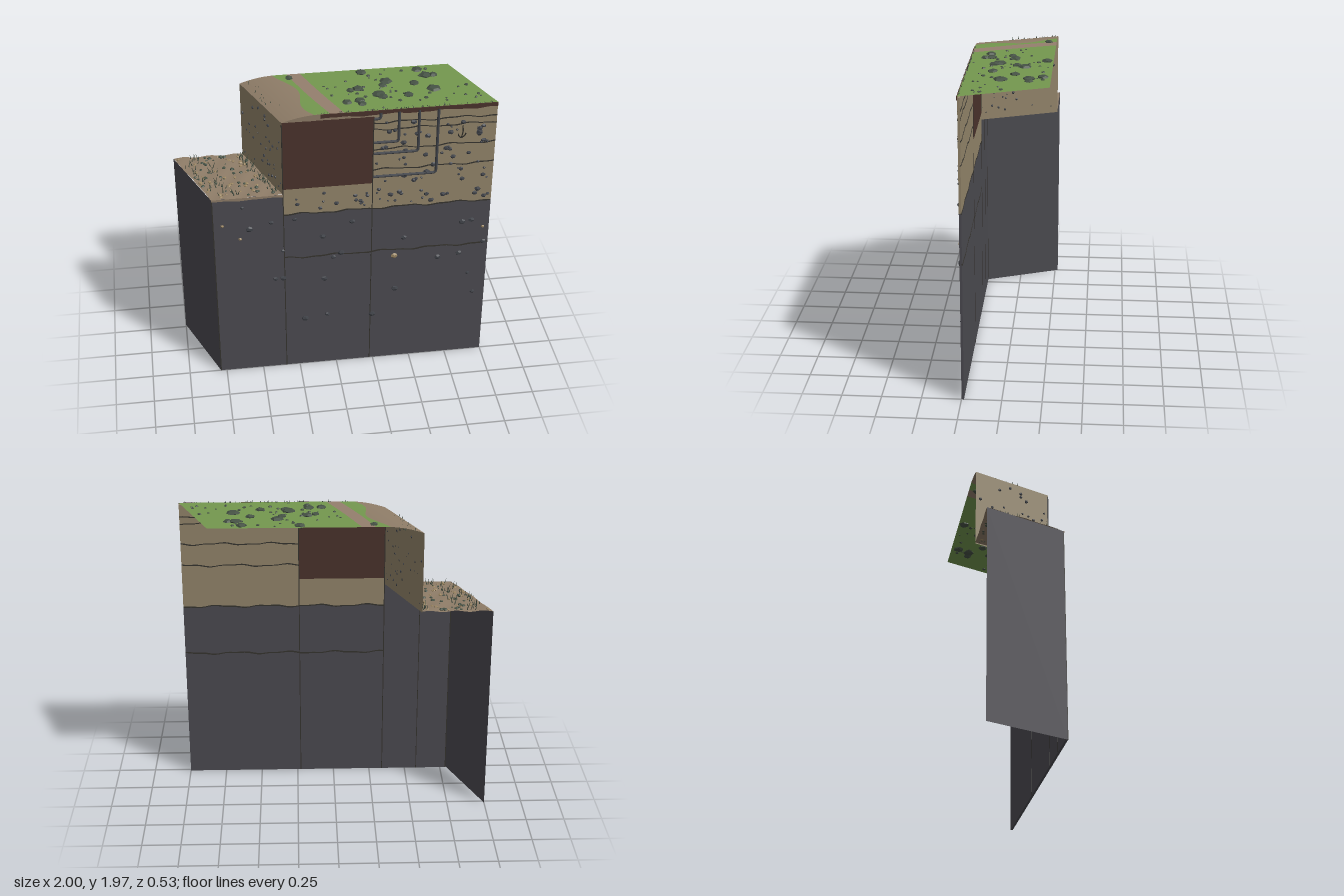
import * as THREE from 'three';
import { mergeGeometries } from 'three/addons/utils/BufferGeometryUtils.js';

const FRONT = 0.25, BACK = -0.27, THICK = 0.015;

function makeMaterial(name, color, flatShading = false) {
  return new THREE.MeshStandardMaterial({ name, color, flatShading, side: THREE.DoubleSide });
}

export function createModel() {
  const group = new THREE.Group();
  const mats = {
    rock: makeMaterial('rock', 0x4c4b51),
    soil: makeMaterial('soil', 0x94866b),
    clay: makeMaterial('clay', 0x4b332c),
    bank: makeMaterial('bank', 0x8f7d68),
    grass: makeMaterial('grass', 0x74984f),
    path: makeMaterial('path', 0x957f6e),
    stone: makeMaterial('stone', 0x41444a, true),
    boulder: makeMaterial('boulder', 0x465245, true),
    pebble: makeMaterial('pebble', 0x9c8763, true),
    seam: makeMaterial('seam', 0x36342f),
  };
  let seed = 7;
  const rnd = (a = 0, b = 1) => {
    seed = (seed * 16807) % 2147483647;
    return a + (b - a) * (seed / 2147483647);
  };
  const add = (name, geometry, material) => {
    const mesh = new THREE.Mesh(geometry, material);
    mesh.name = name;
    group.add(mesh);
    return mesh;
  };

  // The ground plan is sheared: x is measured along the front edge
  const shear = (x, z) => x + (z - FRONT) * 0.404;
  const topY = (x) => 1.958 - (x < -0.1 ? 0.043 * ((-0.1 - x) / 0.24) ** 2 : 0);
  const wave = (y, amp = 0.006) => (x) => y + amp * (Math.sin(x * 19 + y * 30) + 0.5 * Math.sin(x * 43 + y * 9));

  // Grid surface from a rule f(u, v) -> [x, y, z]
  function surface(f, nu, nv) {
    const pos = [], index = [];
    for (let i = 0; i <= nu; i++) for (let j = 0; j <= nv; j++) pos.push(...f(i / nu, j / nv));
    for (let i = 0; i < nu; i++) for (let j = 0; j < nv; j++) {
      const a = i * (nv + 1) + j, b = a + nv + 1;
      index.push(a, a + 1, b, b, a + 1, b + 1);
    }
    const g = new THREE.BufferGeometry();
    g.setAttribute('position', new THREE.Float32BufferAttribute(pos, 3));
    g.setIndex(index);
    g.computeVertexNormals();
    return g;
  }
  // Sheared ground patch between two edge rules
  const ground = (name, left, right, y, mat, nu) => add(name, surface((u, v) => {
    const z = BACK + (FRONT - BACK) * v;
    const x = left(z) + (right(z) - left(z)) * u;
    return [shear(x, z), y(x, z), z];
  }, nu, 16), mat);
  // Slanted upright side wall at one front x position
  const sideWall = (name, x, y0, y1, mat) => add(name, surface((u, v) => {
    const z = BACK + (FRONT - BACK) * u;
    return [shear(x, z), y0 + (y1 - y0) * v, z];
  }, 1, 1).scale(1, 1, 1), mat);
  // Front slab between wavy lower and upper edges
  const slab = (name, x0, x1, low, high, mat, depth = THICK, z = FRONT - THICK) => {
    const pts = [], n = Math.ceil((x1 - x0) * 40);
    for (let i = 0; i <= n; i++) pts.push([x0 + (x1 - x0) * i / n, low]);
    for (let i = n; i >= 0; i--) pts.push([x0 + (x1 - x0) * i / n, high]);
    const shape = new THREE.Shape(pts.map(([x, f]) => new THREE.Vector2(x, f(x))));
    const g = new THREE.ExtrudeGeometry(shape, { depth, bevelEnabled: false, steps: 1 });
    return add(name, g.translate(0, 0, z), mat);
  };
  const flat = (y) => () => y;

  // Front wall layers
  const boundary = wave(1.24);
  slab('lowerRockFront', -0.79, -0.34, flat(0), wave(1.385, 0.004), mats.rock);
  slab('rockFront', -0.34, 1, flat(0), boundary, mats.rock);
  slab('soilUnderClay', -0.34, 0.23, boundary, flat(1.43), mats.soil);
  slab('clayPanel', -0.34, 0.23, flat(1.43), flat(1.915), mats.clay);
  slab('soilFront', 0.23, 1, boundary, flat(1.95), mats.soil);
  slab('bankLip', -0.34, 0.23, flat(1.914), (x) => topY(x) - 0.001, mats.bank);
  slab('topsoilBand', -0.1, 1, wave(1.93, 0.004), flat(1.957), mats.clay, 0.006, FRONT - 0.001);

  // Side walls and terraces
  sideWall('lowerRockSide', -0.79, 0, 1.39, mats.rock);
  sideWall('cliffFace', -0.34, 1.385, 1.915, mats.soil);
  const ledgeY = (x, z) => 1.393 + 0.005 * Math.sin(x * 37 + z * 11) * Math.cos(z * 23);
  ground('ledge', () => -0.79, () => -0.34, ledgeY, mats.bank, 16);
  slab('ledgeLip', -0.79, -0.34, wave(1.377, 0.003), flat(1.394), mats.bank, 0.004, FRONT);

  // Top surface strips
  const tanEdge = (z) => -0.1 + 0.035 * Math.sin(z * 14 + 2.5) - 0.06 * (z + 0.27);
  const pathL = (z) => -0.04 - 0.01 * Math.cos(z * 6), pathR = (z) => 0.045 - 0.006 * Math.cos(z * 6);
  ground('bankTop', () => -0.34, tanEdge, topY, mats.bank, 10);
  ground('grassStrip', tanEdge, pathL, topY, mats.grass, 3);
  ground('path', pathL, pathR, topY, mats.path, 2);
  ground('meadow', pathR, () => 1, topY, mats.grass, 4);

  // Strata lines, cracks and upright seams, showing on both sides
  const line = (name, x0, x1, y, w = 0.007) =>
    slab(name, x0, x1, wave(y - w / 2), wave(y + w / 2), mats.seam, THICK + 0.004, FRONT - THICK - 0.002);
  [1.87, 1.82, 1.68, 1.53].forEach((y) => line('stratum', 0.23, 1, y));
  line('rockCrack', -0.34, 1, 0.9, 0.009);
  line('soilBoundary', -0.34, 1, 1.24, 0.008);
  for (const [x, h] of [[-0.788, 1.38], [-0.34, 1.9], [0.228, 1.9]]) {
    add('seam', new THREE.BoxGeometry(0.006, h, THICK + 0.003).translate(x, h / 2, FRONT - THICK / 2), mats.seam);
  }
  add('backSeam', new THREE.BoxGeometry(0.005, 1.37, 0.003).translate(-0.58, 0.685, FRONT - THICK), mats.seam);

  // Bent pipes
  for (const [x, y] of [[0.27, 1.9], [0.385, 1.73], [0.51, 1.65], [0.63, 1.48]]) {
    const r = 0.02, z = FRONT + 0.004;
    const path = new THREE.CurvePath();
    const p = (a, b) => new THREE.Vector3(a, b, z);
    path.add(new THREE.LineCurve3(p(0.23, y), p(x - r, y)));
    path.add(new THREE.QuadraticBezierCurve3(p(x - r, y), p(x, y), p(x, y + r)));
    path.add(new THREE.LineCurve3(p(x, y + r), p(x, 1.945)));
    add('pipe', new THREE.TubeGeometry(path, 60, 0.009, 8), mats.stone);
  }

  // Small root
  for (const pts of [[[0.785, 1.81], [0.79, 1.77], [0.78, 1.72]], [[0.76, 1.75], [0.765, 1.735], [0.78, 1.72]], [[0.81, 1.755], [0.8, 1.735], [0.78, 1.72]]]) {
    const curve = new THREE.CatmullRomCurve3(pts.map(([x, y]) => new THREE.Vector3(x, y, FRONT + 0.003)));
    add('root', new THREE.TubeGeometry(curve, 6, 0.004, 5), mats.seam);
  }

  // Stones: [x, y, z, rx, ry, rz] lists merged per kind
  const stones = (name, list, mat) => add(name, mergeGeometries(list.map(([x, y, z, a, b, c]) =>
    new THREE.DodecahedronGeometry(1, 0).rotateX(rnd(0, 3)).rotateY(rnd(0, 3)).scale(a, b, c).translate(x, y, z))), mat);
  const wallStone = (x, y, r) => [x, y, FRONT, r * 1.2, r, 0.011];
  const rockSpots = [[-0.6, 1.32], [-0.56, 1.15], [-0.42, 1.19], [-0.27, 1.2], [-0.09, 1.05], [0.1, 1.15], [-0.02, 0.88],
    [0.03, 0.91], [-0.08, 0.71], [0.44, 0.99], [0.67, 0.81], [0.81, 0.83], [0.39, 0.58], [0.92, 0.5], [-0.06, 0.41],
    [0.88, 1.09], [0.82, 1.08], [0.88, 0.66], [-0.35, 0.74], [-0.4, 0.74], [-0.21, 0.39], [0.24, 0.38], [-0.35, 0.96], [0.97, 0.91]];
  stones('rockStones', rockSpots.map(([x, y]) => wallStone(x, y, rnd(0.011, 0.022))), mats.stone);
  const soilSpots = [];
  for (let i = 0; i < 75; i++) soilSpots.push(wallStone(rnd(0.25, 0.98), 1.27 + 0.6 * rnd() ** 1.4, rnd(0.006, 0.018)));
  for (let i = 0; i < 14; i++) soilSpots.push(wallStone(rnd(-0.32, 0.22), rnd(1.27, 1.4), rnd(0.006, 0.015)));
  stones('soilStones', soilSpots, mats.stone);
  stones('paleStones', [[-0.73, 1.19], [0.38, 0.85], [0.96, 1.03], [-0.62, 1.08]]
    .map(([x, y], i) => wallStone(x, y, i === 1 ? 0.02 : 0.01)), mats.pebble);

  // Stones on the cliff face and the ledge
  const cliff = [], ledgePale = [], ledgeDark = [];
  for (let i = 0; i < 34; i++) {
    const z = rnd(-0.25, 0.23), r = rnd(0.005, 0.012);
    cliff.push([shear(-0.343, z), rnd(1.42, 1.88), z, r * 0.7, r, r]);
  }
  for (let i = 0; i < 80; i++) {
    const z = rnd(-0.25, 0.23), r = rnd(0.006, 0.015);
    (i % 2 ? ledgePale : ledgeDark).push([shear(rnd(-0.77, -0.36), z), 1.396, z, r, r * 0.6, r]);
  }
  stones('cliffStones', cliff, mats.stone);
  stones('ledgePebbles', ledgePale, mats.pebble);
  stones('ledgeStones', ledgeDark, mats.boulder);

  // Boulders on the meadow
  const big = [[0.22, -0.23, 0.036], [0.58, -0.22, 0.036], [0.62, -0.14, 0.04], [0.67, -0.14, 0.028], [0.36, -0.1, 0.042],
    [0.33, -0.05, 0.028], [0.53, -0.05, 0.032], [0.64, 0.03, 0.046], [0.17, -0.03, 0.036], [0.12, -0.01, 0.026],
    [0.29, 0.06, 0.045], [0.47, 0.09, 0.032], [0.08, 0.13, 0.032], [0.16, 0.12, 0.036], [0.31, 0.09, 0.034],
    [0.17, 0.16, 0.028], [-0.24, -0.22, 0.026]].map(([x, z, r]) => [x, 1.958, z, r, 0.016, r]);
  for (let i = 0; i < 45; i++) {
    const z = rnd(-0.25, 0.23), r = rnd(0.006, 0.014);
    big.push([shear(rnd(0.07, 0.97), z), 1.958, z, r, r * 0.7, r]);
  }
  stones('boulders', big, mats.boulder);

  // Grass blades: on the ledge, at the cliff foot and along the top edge
  const blades = [];
  const blade = (x, y, z, h) => blades.push(new THREE.ConeGeometry(0.0035, h, 4).translate(0, h / 2, 0)
    .rotateZ(rnd(-0.4, 0.4)).rotateX(rnd(-0.4, 0.4)).translate(x, y, z));
  for (let i = 0; i < 90; i++) {
    const z = rnd(-0.25, 0.22), foot = i % 2;
    blade(shear(foot ? rnd(-0.4, -0.35) : rnd(-0.77, -0.6), z), 1.39, z, rnd(0.025, 0.06));
  }
  for (let i = 0; i < 60; i++) blade(rnd(-0.1, 0.98), 1.955, FRONT - 0.005, rnd(0.008, 0.02));
  for (let i = 0; i < 40; i++) {
    const z = rnd(-0.25, 0.23);
    blade(shear(rnd(-0.33, -0.2), z), 1.925, z, rnd(0.008, 0.025));
  }
  add('grassBlades', mergeGeometries(blades), mats.boulder);

  return group;
}
